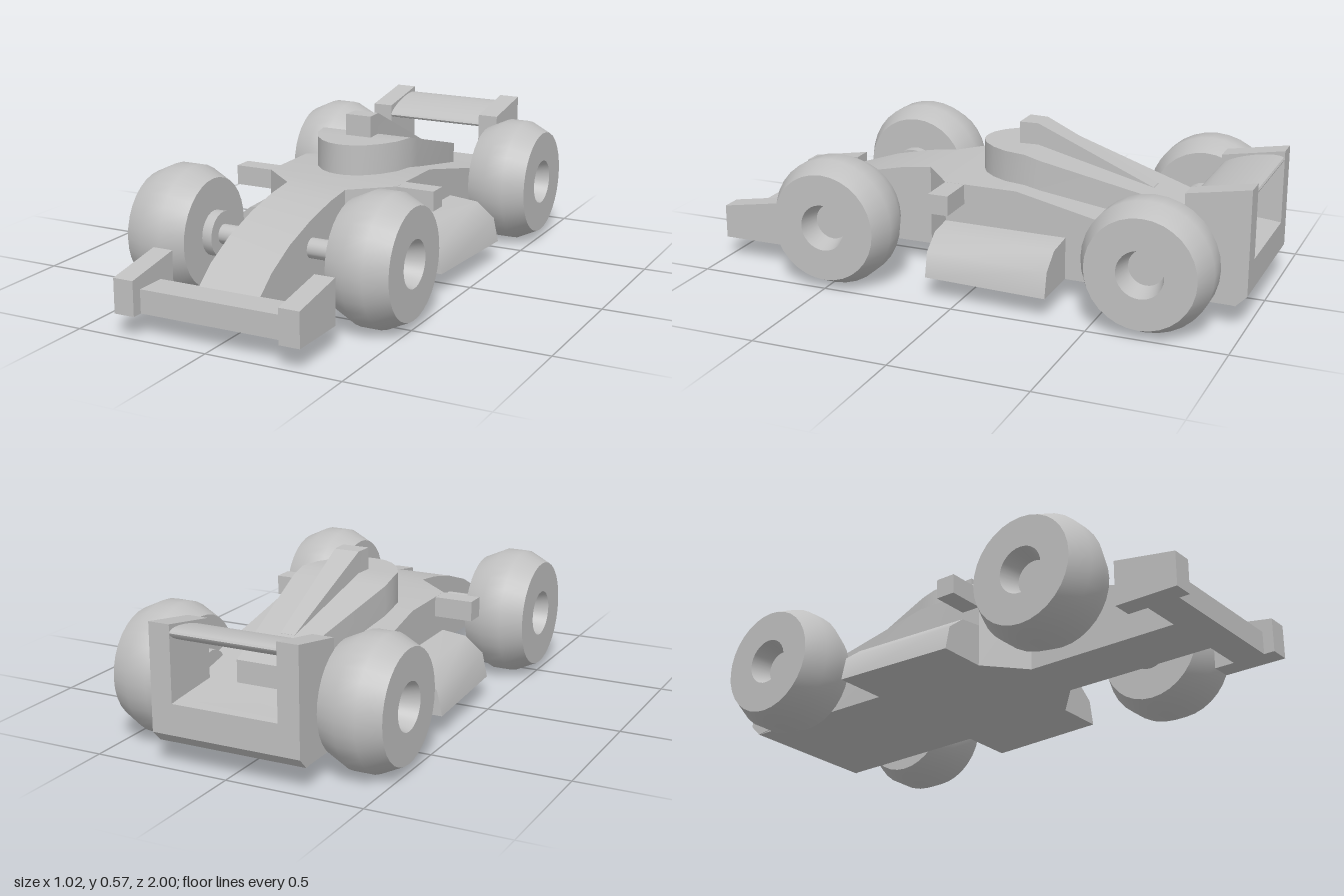
import * as THREE from 'three';
import { toCreasedNormals } from 'three/addons/utils/BufferGeometryUtils.js';

const grey = new THREE.MeshStandardMaterial({ color: 0xc0c0c0 });
grey.name = 'light grey';

export function createModel() {
  const car = new THREE.Group();
  car.name = 'racingCar';

  const add = (name, geometry, crease = 0.6) => {
    const mesh = new THREE.Mesh(toCreasedNormals(geometry, crease), grey);
    mesh.name = name;
    car.add(mesh);
    return mesh;
  };

  // Skin over convex cross-sections running from front to rear
  const loft = (sections) => {
    const pos = [];
    const tri = (...pts) => pts.forEach((p) => pos.push(...p));
    const rings = sections.map(({ z, pts }) => pts.map(([x, y]) => [x, y, z]));
    const n = rings[0].length;
    for (let i = 0; i < rings.length - 1; i++) {
      const f = rings[i], b = rings[i + 1];
      for (let j = 0; j < n; j++) {
        const k = (j + 1) % n;
        tri(f[j], b[j], b[k]);
        tri(f[j], b[k], f[k]);
      }
    }
    const first = rings[0], last = rings[rings.length - 1];
    for (let j = 1; j < n - 1; j++) {
      tri(first[0], first[j], first[j + 1]);
      tri(last[0], last[j + 1], last[j]);
    }
    const g = new THREE.BufferGeometry();
    g.setAttribute('position', new THREE.Float32BufferAttribute(pos, 3));
    return g;
  };

  // Rectangular section: half width, top and bottom heights
  const slab = ([z, w, top, bottom]) => ({
    z, pts: [[w, bottom], [w, top], [-w, top], [-w, bottom]],
  });

  // Side outline [z, y] pulled across from x0 to x1
  const across = (outline, x0, x1) => {
    const shape = new THREE.Shape(outline.map(([z, y]) => new THREE.Vector2(z, y)));
    const g = new THREE.ExtrudeGeometry(shape, { depth: x1 - x0, bevelEnabled: false });
    return g.rotateY(-Math.PI / 2).translate(x1, 0, 0);
  };

  // Body with narrow curved nose and wide tail
  add('body', loft([
    [0.845, 0.118, 0.165, 0.08], [0.77, 0.118, 0.225, 0.08], [0.65, 0.118, 0.287, 0.08],
    [0.5, 0.118, 0.337, 0.08], [0.36, 0.118, 0.368, 0.08], [0.25, 0.118, 0.382, 0.08],
    [0.125, 0.26, 0.382, 0.08], [-0.15, 0.263, 0.382, 0.08], [-0.77, 0.272, 0.25, 0.08],
    [-0.96, 0.274, 0.235, 0.08], [-1, 0.274, 0.23, 0.12],
  ].map(slab)), 0.4);

  // Teardrop cockpit cover, rounded in front and sloping to the tail
  add('cockpitCover', loft([
    [0.068, 0.015, 0.495, 0.3], [0.06, 0.05, 0.495, 0.3], [0.035, 0.092, 0.495, 0.3],
    [-0.01, 0.133, 0.495, 0.3], [-0.07, 0.167, 0.495, 0.3], [-0.15, 0.184, 0.495, 0.3],
    [-0.21, 0.184, 0.479, 0.28], [-0.77, 0.09, 0.33, 0.2],
  ].map(slab)), 0.5);

  // Air intake
  add('airIntake', loft([
    [-0.08, 0.052, 0.575, 0.45], [-0.15, 0.048, 0.575, 0.45], [-0.585, 0.028, 0.38, 0.33],
  ].map(slab)), 0.2);

  // Front wing bar
  add('frontWing', new THREE.BoxGeometry(0.56, 0.085, 0.12).translate(0, 0.1225, 0.9));

  // Rear wing: tilted airfoil
  const airfoil = [];
  for (let i = 0; i < 24; i++) {
    const a = (i / 24) * Math.PI * 2;
    const u = Math.cos(a);
    airfoil.push([-0.885 + 0.115 * u, 0.445 - 0.025 * u + 0.028 * Math.sin(a)]);
  }
  add('rearWing', across(airfoil, -0.2, 0.2));

  // Wheel profile [radius, x] with a sunken hub
  const wheelProfile = [
    [0, 0.275], [0.198, 0.275], [0.235, 0.355], [0.235, 0.43], [0.198, 0.508],
    [0.085, 0.508], [0.065, 0.43], [0, 0.43],
  ].map(([r, x]) => new THREE.Vector2(r, x));

  const rod = (r, x0, x1, s, z) => new THREE.CylinderGeometry(r, r, x1 - x0, 24)
    .rotateZ(Math.PI / 2).translate((s * (x0 + x1)) / 2, 0.236, z);

  for (const s of [1, -1]) {
    const side = s > 0 ? 'left' : 'right';
    const span = (a, b) => (s > 0 ? [a, b] : [-b, -a]);

    // Wheels with their hubs
    for (const [end, z] of [['Front', 0.497], ['Rear', -0.69]]) {
      const wheel = new THREE.LatheGeometry(wheelProfile, 32).rotateZ(-Math.PI / 2);
      if (s < 0) wheel.rotateY(Math.PI);
      add(`${side}${end}Wheel`, wheel.translate(0, 0.236, z));
      add(`${side}${end}Hub`, rod(0.082, 0.237, 0.28, s, z));
    }
    add(`${side}FrontAxle`, rod(0.036, 0.1, 0.25, s, 0.497));

    // Wing end plates
    add(`${side}FrontEndPlate`, across(
      [[1, 0.08], [1, 0.205], [0.765, 0.245], [0.765, 0.08]], ...span(0.275, 0.352)), 0.1);
    add(`${side}RearEndPlate`, across(
      [[-0.77, 0.1], [-0.77, 0.46], [-1, 0.5], [-1, 0.12], [-0.96, 0.08]], ...span(0.198, 0.277)), 0.1);

    // Side pod widening to the rear
    const pod = (z, w) => {
      const pts = [[0.24, 0.08], [w, 0.08], [w - 0.02, 0.17], [w - 0.09, 0.225], [0.24, 0.238]];
      return { z, pts: s > 0 ? pts : pts.map(([x, y]) => [-x, y]).reverse() };
    };
    add(`${side}SidePod`, loft([pod(0.125, 0.442), pod(-0.34, 0.468)]), 0.7);

    // Mirror arm
    add(`${side}Mirror`, new THREE.BoxGeometry(0.17, 0.073, 0.075).translate(s * 0.32, 0.345, 0.088));
  }
  return car;
}
